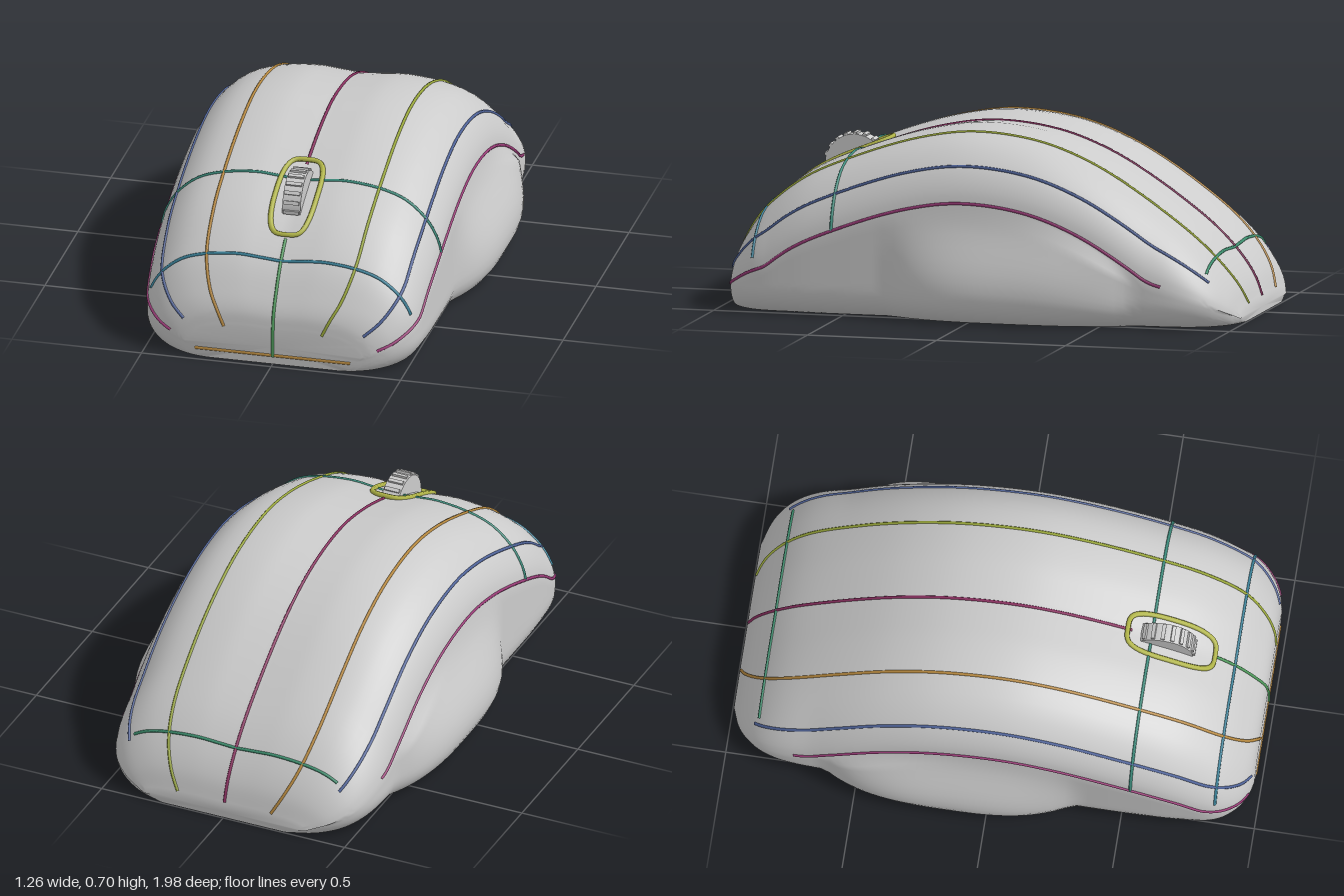
import * as THREE from 'three';
import { toCreasedNormals } from 'three/addons/utils/BufferGeometryUtils.js';

const BASE = 0.02;
const V = (x, y, z) => new THREE.Vector3(x, y, z);

// Spine of the shell: z position, crown height, half width
const spine = new THREE.CatmullRomCurve3([
  [0.975, 0.16, 0.34], [0.965, 0.22, 0.39], [0.93, 0.29, 0.455], [0.85, 0.4, 0.515],
  [0.7, 0.52, 0.535], [0.5, 0.61, 0.54], [0.25, 0.69, 0.54], [0.04, 0.72, 0.54],
  [-0.2, 0.695, 0.54], [-0.4, 0.625, 0.54], [-0.6, 0.51, 0.54], [-0.8, 0.36, 0.525],
  [-0.9, 0.255, 0.485], [-0.96, 0.165, 0.42], [-0.995, 0.07, 0.33],
].map(p => V(...p)), false, 'centripetal');
const stations = spine.getPoints(84);

// Crown of one half section: x at full width, drop below the crown height
const crown = new THREE.SplineCurve([
  [0, 0.015], [0.09, 0.006], [0.18, 0], [0.3, 0.015], [0.4, 0.05],
  [0.48, 0.12], [0.525, 0.2], [0.54, 0.27],
].map(p => new THREE.Vector2(...p)));
const CROWN = 21, SIDE = 14;

// Half section from the crown centre down to the base edge
function halfSection({ x: z, y: H, z: W }) {
  const k = THREE.MathUtils.clamp((H - 0.03) / 0.42, 0.08, 1);
  const pts = crown.getPoints(CROWN).map(p => V(p.x * W / 0.54, H - p.y * k, z));
  const shoulder = pts[CROWN].y;
  const panel = Math.max(0, 1 - Math.abs((z + 0.15) / 0.47) ** 3);
  for (let i = 1; i <= SIDE; i++) {
    const y = shoulder + (BASE - shoulder) * Math.sin(i / SIDE * Math.PI / 2);
    const flare = 0.09 * panel * (1 - THREE.MathUtils.smoothstep(y, 0.13, 0.46));
    const u = Math.min(1, (y - BASE) / 0.1);
    const tuck = 0.085 * (1 - Math.sqrt(Math.max(0, 1 - (1 - u) ** 2)));
    pts.push(V(W + flare - tuck, y, z));
  }
  return pts;
}

const halves = stations.map(halfSection);
const N = CROWN + SIDE;
// Point on the shell; negative columns lie on the right-hand side
const at = (row, col) => {
  const p = halves[row][Math.abs(col)];
  return V(col < 0 ? -p.x : p.x, p.y, p.z);
};
const rowAt = z => {
  let best = 0;
  stations.forEach((s, i) => { if (Math.abs(s.x - z) < Math.abs(stations[best].x - z)) best = i; });
  return best;
};
const heightAt = z => {
  const i = Math.max(1, stations.findIndex(s => s.x <= z));
  const a = stations[i - 1], b = stations[i];
  return THREE.MathUtils.lerp(a.y, b.y, (z - a.x) / (b.x - a.x)) - 0.012;
};

function shellGeometry() {
  const pos = [], idx = [], cols = 2 * N + 1, last = stations.length - 1;
  for (let r = 0; r <= last; r++) for (let c = -N; c <= N; c++) pos.push(...at(r, c).toArray());
  for (let r = 0; r < last; r++) {
    const a = r * cols;
    for (let c = 0; c < cols - 1; c++) {
      const i = a + c, j = i + cols;
      idx.push(i, i + 1, j + 1, i, j + 1, j);
    }
    // Flat underside
    const b = a + cols - 1;
    idx.push(a, b + cols, b, a, a + cols, b + cols);
  }
  // Front and back caps
  for (const r of [0, last]) {
    const centre = pos.length / 3, a = r * cols;
    pos.push(0, (stations[r].y + BASE) / 2, stations[r].x);
    for (let c = 0; c < cols; c++) {
      const i = a + c, j = a + (c + 1) % cols;
      if (r === 0) idx.push(centre, j, i); else idx.push(centre, i, j);
    }
  }
  const g = new THREE.BufferGeometry();
  g.setAttribute('position', new THREE.Float32BufferAttribute(pos, 3));
  g.setIndex(idx);
  return toCreasedNormals(g, 0.8);
}

export function createModel() {
  const model = new THREE.Group();
  const add = (name, geometry, color = 0xcccccc) => {
    const mesh = new THREE.Mesh(geometry, new THREE.MeshStandardMaterial({ color }));
    mesh.name = name;
    model.add(mesh);
    return mesh;
  };
  const seam = (name, pts, color, closed = false, radius = 0.006) =>
    add(name, new THREE.TubeGeometry(new THREE.CatmullRomCurve3(pts, closed), pts.length * 2, radius, 6, closed), color);

  add('shell', shellGeometry());

  // Lengthwise seams over the crown and the arched seams along the sides
  const lengthwise = (name, col, from, to, color) => {
    const pts = [];
    for (let r = rowAt(from); r <= rowAt(to); r++) pts.push(at(r, col));
    seam(name, pts, color);
  };
  lengthwise('frontCentreSeam', 0, 0.975, 0.78, 0x4f9a5c);
  lengthwise('centreSeam', 0, 0.44, -0.99, 0x8a3060);
  for (const [side, s, color] of [['left', 1, 0x9aa83c], ['right', -1, 0xb88a40]]) {
    lengthwise(side + 'CrownSeam', s * 9, 0.975, -0.99, color);
    lengthwise(side + 'ShoulderSeam', s * 15, 0.965, -0.9, 0x50649a);
    lengthwise(side + 'ArchSeam', s * 20, 0.96, -0.75, 0x9a3c78);
  }

  // Crosswise seams: button edge, nose edge and tail edge
  const crosswise = (name, z, reach, color) => {
    const pts = [];
    for (let c = -reach; c <= reach; c++) pts.push(at(rowAt(z), c));
    seam(name, pts, color);
  };
  crosswise('buttonSeam', 0.54, 20, 0x3f9080);
  crosswise('noseSeam', 0.84, 18, 0x3f88a0);
  crosswise('tailSeam', -0.88, 14, 0x3f9070);

  // Nose centre seam and lower lip
  seam('noseCentreSeam', [0.16, 0.12, 0.09, 0.05].map(y => V(0, y, 0.976)), 0x4f9a5c);
  seam('lowerLipSeam', [-0.3, -0.15, 0, 0.15, 0.3].map(x => V(x, 0.055, 0.974)), 0xb88a40);

  // Scroll wheel surround: a stadium ring laid on the shell
  const ring = [];
  for (let i = 0; i < 40; i++) {
    const a = i / 40 * Math.PI * 2;
    const x = 0.08 * Math.sign(Math.cos(a)) * Math.abs(Math.cos(a)) ** 0.5;
    const z = 0.61 + 0.165 * Math.sign(Math.sin(a)) * Math.abs(Math.sin(a)) ** 0.7;
    ring.push(V(x, heightAt(z) + 0.008, z));
  }
  seam('wheelSurround', ring, 0xb4b84a, true, 0.01);

  // Scroll wheel with ribs
  const wheel = new THREE.Group();
  wheel.name = 'scrollWheel';
  wheel.position.set(0, 0.52, 0.58);
  const grey = new THREE.MeshStandardMaterial({ color: 0xcccccc });
  const disc = new THREE.Mesh(new THREE.CylinderGeometry(0.115, 0.115, 0.07, 32), grey);
  disc.name = 'wheelDisc';
  disc.rotation.z = Math.PI / 2;
  wheel.add(disc);
  for (let i = 0; i < 20; i++) {
    const a = i / 20 * Math.PI * 2;
    const rib = new THREE.Mesh(new THREE.BoxGeometry(0.06, 0.016, 0.014), grey);
    rib.name = 'wheelRib';
    rib.position.set(0, Math.cos(a) * 0.115, Math.sin(a) * 0.115);
    rib.rotation.x = a;
    wheel.add(rib);
  }
  model.add(wheel);
  return model;
}
